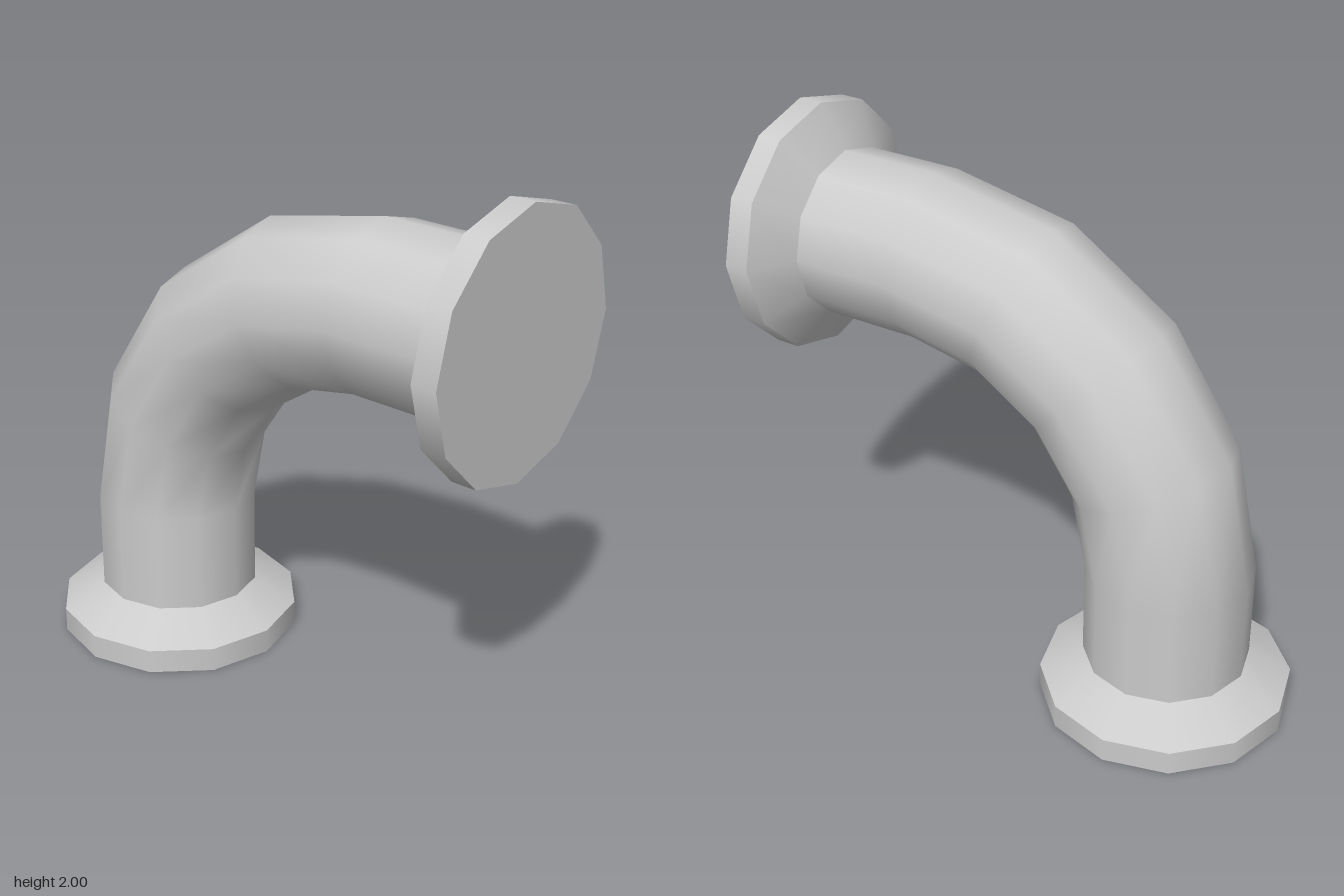
import * as THREE from 'three';

const SIDES = 12;
const PIPE_R = 0.305, FLANGE_R = 0.463;
const RIM_H = 0.092, CONE_H = 0.093;
const PIPE_Z = -0.537, PIPE_Y = 1.537; // axes of the upright and level runs
const BEND_R = 0.98, BEND_STEPS = 4;

const material = new THREE.MeshStandardMaterial({ color: 0xcccccc });

function addMesh(parent, name, geometry) {
  const mesh = new THREE.Mesh(geometry, material);
  mesh.name = name;
  parent.add(mesh);
  return mesh;
}

// Flange with its outer face at the origin, pointing along +y towards the pipe
function createFlange(name) {
  const flange = new THREE.Group();
  flange.name = name;
  const rim = new THREE.CylinderGeometry(FLANGE_R, FLANGE_R, RIM_H, SIDES, 1, true);
  addMesh(flange, 'flangeRim', rim).position.y = RIM_H / 2;
  const cone = new THREE.CylinderGeometry(PIPE_R, FLANGE_R, CONE_H, SIDES, 1, true);
  addMesh(flange, 'flangeTaper', cone).position.y = RIM_H + CONE_H / 2;
  addMesh(flange, 'flangeFace', new THREE.CircleGeometry(FLANGE_R, SIDES)).rotation.x = Math.PI / 2;
  return flange;
}

// Straight run, quarter bend and straight run: a tube whose rings are moved onto the path
function createPipe() {
  const bendY = PIPE_Y - BEND_R, bendZ = PIPE_Z + BEND_R;
  const rings = [{ y: RIM_H + CONE_H, z: PIPE_Z, a: 0 }];
  for (let i = 0; i <= BEND_STEPS; i++) {
    const a = (i / BEND_STEPS) * Math.PI / 2;
    rings.push({ y: bendY + BEND_R * Math.sin(a), z: bendZ - BEND_R * Math.cos(a), a });
  }
  rings.push({ y: PIPE_Y, z: 1 - RIM_H - CONE_H, a: Math.PI / 2 });

  const count = rings.length - 1;
  const geometry = new THREE.CylinderGeometry(PIPE_R, PIPE_R, count, SIDES, count, true);
  const pos = geometry.attributes.position, normal = geometry.attributes.normal;
  for (let i = 0; i < pos.count; i++) {
    const { y, z, a } = rings[Math.round(pos.getY(i) + count / 2)];
    const s = Math.sin(a), c = Math.cos(a);
    const r = pos.getZ(i), n = normal.getZ(i);
    pos.setXYZ(i, pos.getX(i), y - r * s, z + r * c);
    normal.setXYZ(i, normal.getX(i), -n * s, n * c);
  }
  return geometry;
}

export function createModel() {
  const model = new THREE.Group();
  model.name = 'pipeElbow';
  addMesh(model, 'bentPipe', createPipe());

  const base = createFlange('baseFlange');
  base.position.z = PIPE_Z;
  const front = createFlange('frontFlange');
  front.position.set(0, PIPE_Y, 1);
  front.rotation.x = -Math.PI / 2;
  model.add(base, front);
  return model;
}
